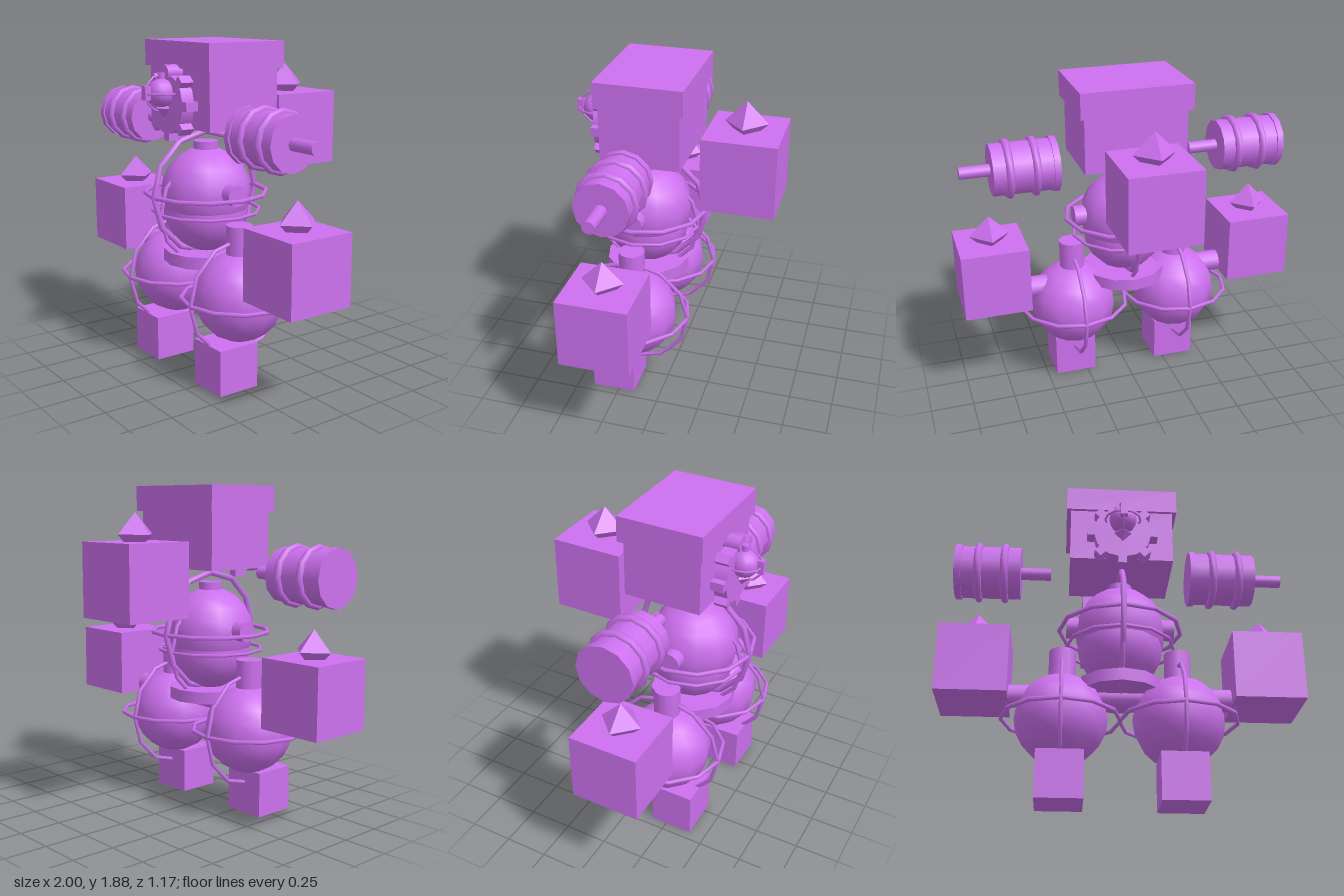
import * as THREE from 'three';

export function createModel() {
  const model = new THREE.Group();
  model.name = 'robot';
  const material = new THREE.MeshStandardMaterial({ color: 0xcc70ee });
  const Z = 0.187; // depth of the main body plane

  const add = (name, geometry, x, y, z, parent = model) => {
    const mesh = new THREE.Mesh(geometry, material);
    mesh.name = name;
    mesh.position.set(x, y, z);
    parent.add(mesh);
    return mesh;
  };
  const box = (name, w, h, d, x, y, z, parent) =>
    add(name, new THREE.BoxGeometry(w, h, d), x, y, z, parent);
  const rod = (name, axis, r, length, x, y, z, parent) => {
    const g = new THREE.CylinderGeometry(r, r, length, 12);
    if (axis === 'x') g.rotateZ(-Math.PI / 2);
    if (axis === 'z') g.rotateX(Math.PI / 2);
    return add(name, g, x, y, z, parent);
  };

  // Ball with one level ring and one upright ring around it
  const ringedBall = (name, r, ringR, levelTube, uprightTube, x, y, z) => {
    const group = new THREE.Group();
    group.name = name;
    group.position.set(x, y, z);
    model.add(group);
    add('ball', new THREE.SphereGeometry(r, 12, 10), 0, 0, 0, group);
    const level = new THREE.TorusGeometry(ringR, levelTube, 6, 12).rotateX(Math.PI / 2);
    const upright = new THREE.TorusGeometry(ringR, uprightTube, 6, 12).rotateY(Math.PI / 2);
    add('levelRing', level, 0, 0, 0, group);
    add('uprightRing', upright, 0, 0, 0, group);
  };

  // Cube with a pointed gem sunk in its top
  const gemCube = (name, size, h, x, y, z, gemR, gemY) => {
    const group = new THREE.Group();
    group.name = name;
    group.position.set(x, y, z);
    model.add(group);
    box('cube', size, h, size, 0, 0, 0, group);
    add('gem', new THREE.OctahedronGeometry(gemR), 0, gemY - y, 0, group);
  };

  // Head and lid
  box('head', 0.59, 0.32, 0.445, 0, 1.58, 0.138);
  box('headLid', 0.64, 0.145, 0.49, 0, 1.8125, 0.135);

  // Torso of two overlapping balls, neck, shoulder rod
  ringedBall('upperTorso', 0.257, 0.345, 0.013, 0.018, 0, 1.04, Z);
  ringedBall('lowerTorso', 0.24, 0.305, 0.01, 0.012, 0, 0.935, Z);
  rod('neck', 'y', 0.07, 0.2, 0, 1.23, Z);
  rod('shoulderRod', 'x', 0.06, 0.61, 0, 1.06, Z);

  // Hips
  rod('hipDisc', 'y', 0.245, 0.07, 0, 0.675, Z);
  rod('hipRod', 'x', 0.063, 1.29, 0, 0.632, Z);

  // Legs, feet and side cubes
  for (const s of [-1, 1]) {
    const side = s > 0 ? 'left' : 'right';
    ringedBall(side + 'Leg', 0.255, 0.325, 0.012, 0.012, s * 0.322, 0.5, Z);
    rod(side + 'LegPost', 'y', 0.075, 0.25, s * 0.322, 0.78, Z);
    box(side + 'Foot', 0.25, 0.26, 0.25, s * 0.322, 0.13, 0.28);
    gemCube(side + 'Cube', 0.387, 0.39, s * 0.804, 0.78, 0.182, 0.115, 1.015);
  }

  // Pack behind the head
  gemCube('backCube', 0.413, 0.42, 0, 1.37, -0.378, 0.12, 1.62);

  // Floating banded drums, both pointing the same way
  [-0.95, 0.398].forEach((x, i) => {
    const drum = new THREE.Group();
    drum.name = i ? 'leftDrum' : 'rightDrum';
    drum.position.set(x, 1.405, Z);
    model.add(drum);
    rod('endCap', 'x', 0.16, 0.037, 0.0185, 0, 0, drum);
    rod('barrel', 'x', 0.15, 0.345, 0.2025, 0, 0, drum);
    for (const bx of [0.132, 0.282]) {
      const band = new THREE.TorusGeometry(0.152, 0.022, 8, 12).rotateY(Math.PI / 2);
      add('band', band, bx, 0, 0, drum);
    }
    rod('spindle', 'x', 0.035, 0.18, 0.458, 0, 0, drum);
  });

  // Gear on the face
  const gear = new THREE.Group();
  gear.name = 'gear';
  gear.position.set(0, 1.55, 0.407);
  model.add(gear);
  rod('gearDisc', 'z', 0.165, 0.075, 0, 0, 0, gear);
  for (let i = 0; i < 8; i++) {
    const a = (i * Math.PI) / 4;
    const tooth = box('tooth', 0.07, 0.05, 0.075,
      0.165 * Math.cos(a), 0.165 * Math.sin(a), 0, gear);
    tooth.rotation.z = a;
  }
  rod('gearPin', 'z', 0.044, 0.095, 0, 0.168, 0, gear);

  // Small ringed nose in front of the gear
  ringedBall('nose', 0.078, 0.1, 0.006, 0.006, 0, 1.612, 0.472);
  rod('noseTop', 'y', 0.02, 0.06, 0, 1.69, 0.472);
  box('noseTip', 0.04, 0.075, 0.035, 0, 1.617, 0.567);
  add('noseGem', new THREE.OctahedronGeometry(0.05), 0, 1.53, 0.46);

  return model;
}
